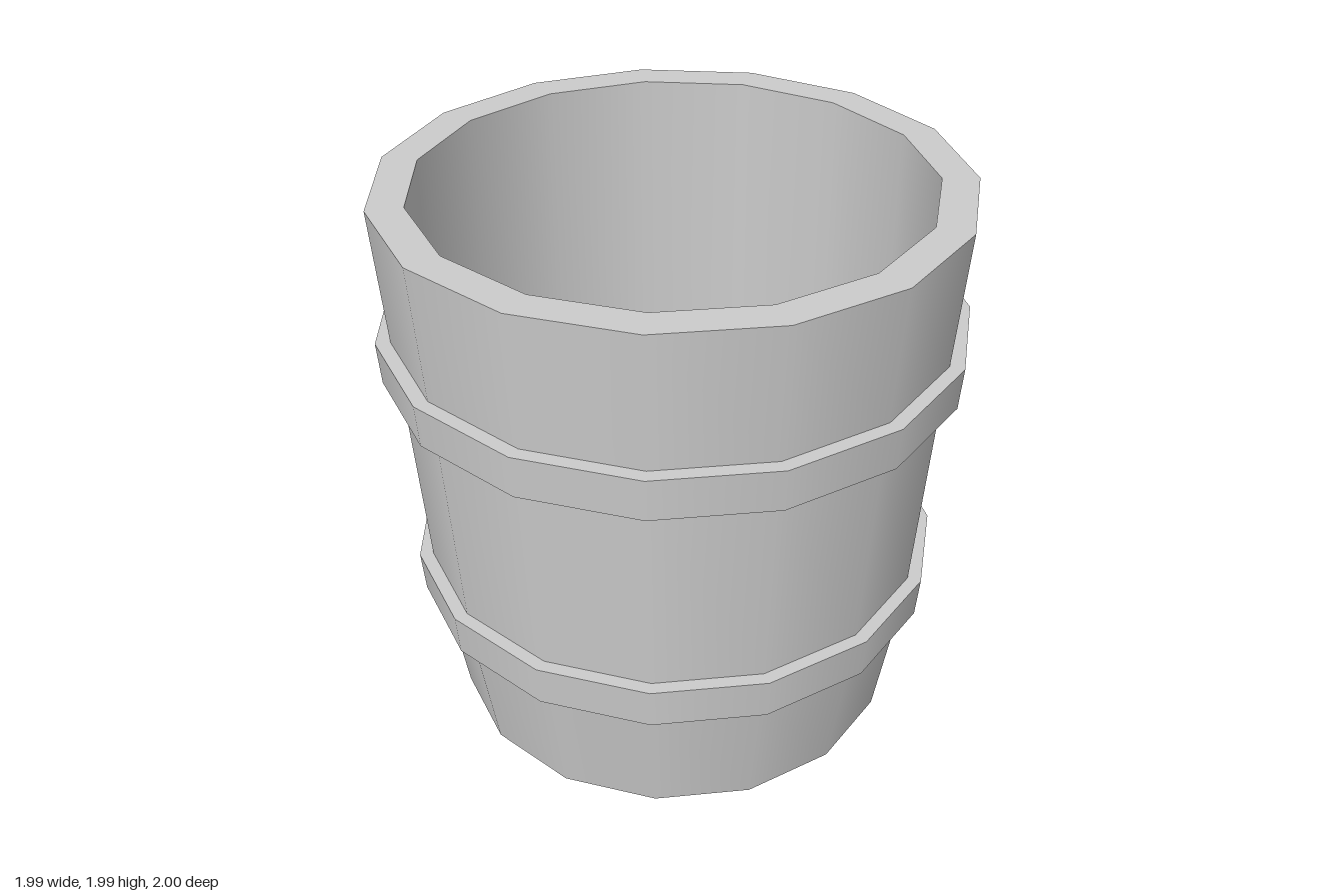
import * as THREE from 'three';
import { mergeGeometries } from 'three/addons/utils/BufferGeometryUtils.js';

const SIDES = 15;

// Revolves each profile segment separately: smooth around, sharp between segments.
function revolve(name, profile, material) {
  const rings = [];
  for (let i = 0; i < profile.length - 1; i++) {
    const pair = [profile[i], profile[i + 1]].map(([r, y]) => new THREE.Vector2(r, y));
    rings.push(new THREE.LatheGeometry(pair, SIDES, Math.PI / 2));
  }
  const mesh = new THREE.Mesh(mergeGeometries(rings), material);
  mesh.name = name;
  return mesh;
}

export function createModel() {
  const group = new THREE.Group();
  group.name = 'bucket';
  const grey = new THREE.MeshStandardMaterial({ color: 0xcccccc });

  // Tapered wall with base, flat rim, straight inner wall and floor
  group.add(revolve('tub', [
    [0, 0], [0.8, 0], [0.875, 0.475], [0.89, 0.625], [0.94, 1.36],
    [0.955, 1.51], [0.99, 1.985], [0.866, 1.985], [0.866, 0.6], [0, 0.6],
  ], grey));

  // Raised hoops: [bottom y, inner r, outer r, top y, outer r, inner r]
  const hoops = {
    lowerHoop: [0.475, 0.875, 0.926, 0.625, 0.938, 0.89],
    upperHoop: [1.36, 0.94, 0.995, 1.51, 1.0055, 0.955],
  };
  for (const [name, [y0, in0, out0, y1, out1, in1]] of Object.entries(hoops)) {
    group.add(revolve(name, [[in0, y0], [out0, y0], [out1, y1], [in1, y1]], grey));
  }

  // Centre the odd-sided outline on x
  for (const part of group.children) part.position.x = -0.011;
  return group;
}
